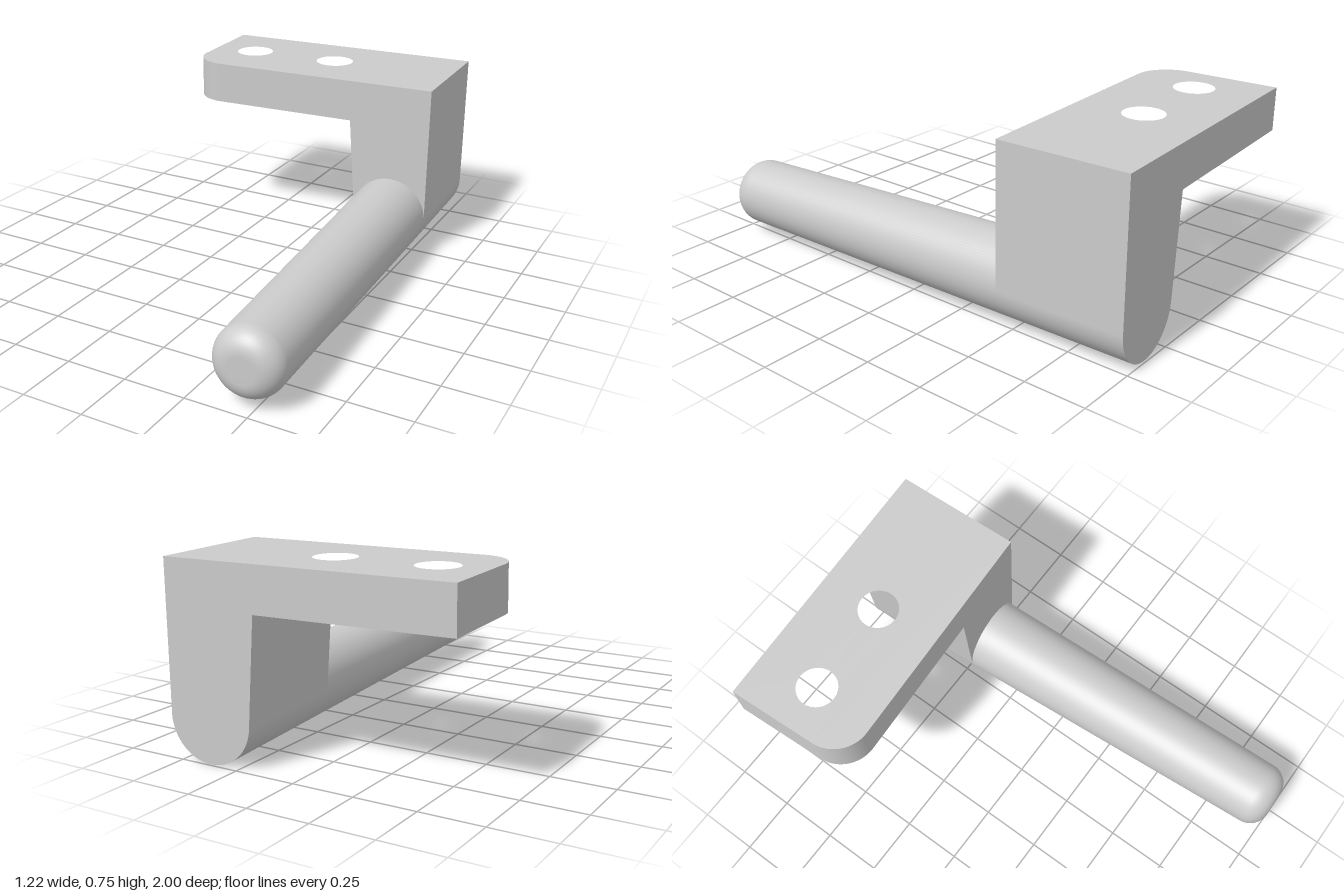
import * as THREE from 'three';

const material = new THREE.MeshStandardMaterial({ color: 0xcccccc });

// Shared dimensions, in a frame whose z runs along the handle
const AXIS_X = 0.42, AXIS_Y = 0.172;
const BACK = -0.971, FRONT = -0.436, TIP = 1.021;
const R_BACK = 0.172, R_TIP = 0.139;
const PLATE_BOTTOM = 0.577, PLATE_TOP = 0.755;
const radiusAt = (z) => THREE.MathUtils.mapLinear(z, BACK, TIP, R_BACK, R_TIP);

function part(name, geometry) {
  const mesh = new THREE.Mesh(geometry, material);
  mesh.name = name;
  return mesh;
}

// Flat plate with one rounded corner and two screw holes
function mountingPlate() {
  const left = -0.562, corner = 0.15;
  const shape = new THREE.Shape();
  shape.moveTo(left + corner, -FRONT);
  shape.absarc(left + corner, -FRONT + corner, corner, -Math.PI / 2, -Math.PI, true);
  shape.lineTo(left, -BACK);
  shape.lineTo(AXIS_X + R_BACK, -BACK);
  shape.lineTo(AXIS_X + radiusAt(FRONT), -FRONT);
  shape.closePath();
  for (const x of [-0.368, 0.037]) {
    const hole = new THREE.Path();
    hole.absarc(x, 0.709, 0.083, 0, Math.PI * 2, true);
    shape.holes.push(hole);
  }
  const geometry = new THREE.ExtrudeGeometry(shape, {
    depth: PLATE_TOP - PLATE_BOTTOM, bevelEnabled: false, curveSegments: 32,
  });
  geometry.rotateX(-Math.PI / 2).translate(0, PLATE_BOTTOM, 0);
  return part('mountingPlate', geometry);
}

// Leg whose sides run tangent into the tapering handle
function leg() {
  const geometry = new THREE.BoxGeometry(1, 1, 1);
  const p = geometry.attributes.position;
  const lean = THREE.MathUtils.degToRad(4.5);
  for (let i = 0; i < p.count; i++) {
    const z = p.getZ(i) < 0 ? BACK : FRONT;
    const r = radiusAt(z), top = p.getY(i) > 0;
    let x = AXIS_X + r, y = top ? PLATE_BOTTOM : AXIS_Y;
    if (p.getX(i) < 0) {
      const tx = AXIS_X - r * Math.cos(lean), ty = AXIS_Y - r * Math.sin(lean);
      x = top ? tx - (PLATE_BOTTOM - ty) * Math.tan(lean) : tx;
      if (!top) y = ty;
    }
    p.setXYZ(i, x, y, z);
  }
  geometry.computeVertexNormals();
  return part('leg', geometry);
}

// Tapered round handle with a softened tip and a flat back end
function handle() {
  const group = new THREE.Group();
  group.name = 'handle';
  const fillet = 0.085;
  const profile = [new THREE.Vector2(R_BACK, BACK)];
  for (let i = 0; i <= 12; i++) {
    const a = (i / 12) * Math.PI / 2;
    profile.push(new THREE.Vector2(
      R_TIP - fillet + fillet * Math.cos(a), TIP - fillet + fillet * Math.sin(a)));
  }
  profile.push(new THREE.Vector2(0, TIP));
  const grip = part('handleGrip', new THREE.LatheGeometry(profile, 96).rotateX(Math.PI / 2));
  const cap = part('handleBackCap',
    new THREE.CircleGeometry(R_BACK, 96).rotateY(Math.PI).translate(0, 0, BACK));
  group.add(grip, cap);
  group.position.set(AXIS_X, AXIS_Y, 0);
  return group;
}

export function createModel() {
  const model = new THREE.Group();
  model.name = 'handleBracket';
  const bracket = new THREE.Group();
  bracket.name = 'bracket';
  bracket.add(mountingPlate(), leg(), handle());
  // The whole piece sits slightly turned
  bracket.rotation.y = THREE.MathUtils.degToRad(3);
  model.add(bracket);
  return model;
}
